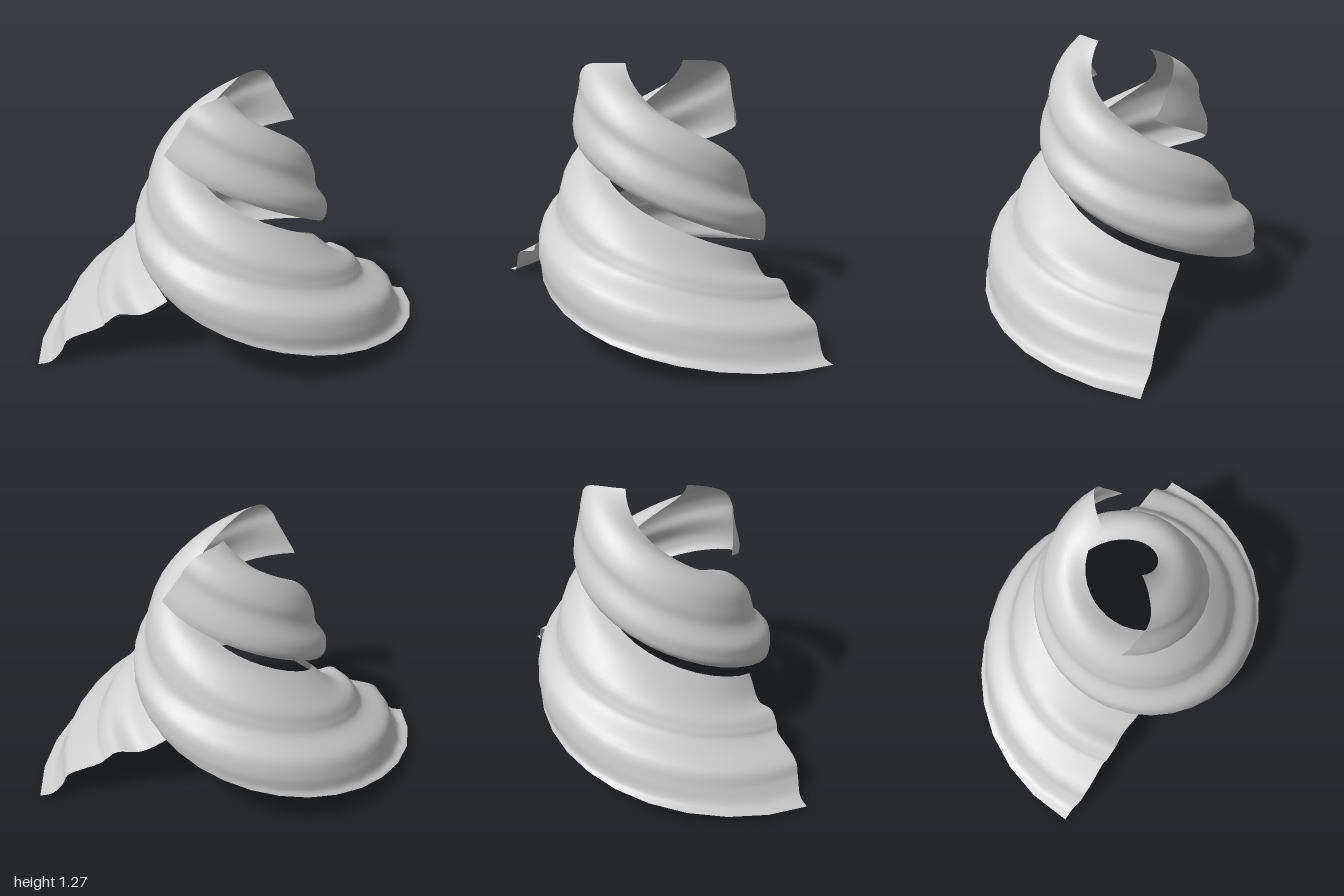
import * as THREE from 'three';

// Cross-sections of one ribbon, from lower outer edge to upper inner edge.
// The two cut ends are given as [x, y, z], the quarter turns as [radius, y].
const startEnd = [[0.99, 0, 0.16], [0.935, 0.015, 0.13], [0.895, 0.08, 0.09], [0.86, 0.15, 0.065],
  [0.73, 0.2, 0.005], [0.7, 0.235, -0.02], [0.65, 0.275, -0.05], [0.55, 0.265, -0.09], [0.45, 0.34, -0.16]];
const quarters = [
  [[0.69, 0.18], [0.677, 0.21], [0.677, 0.28], [0.65, 0.37], [0.565, 0.44], [0.54, 0.49], [0.51, 0.56],
    [0.41, 0.655], [0.31, 0.69]],
  [[0.485, 0.475], [0.5, 0.5], [0.503, 0.54], [0.495, 0.6], [0.44, 0.675], [0.425, 0.75], [0.39, 0.85],
    [0.31, 0.915], [0.207, 0.92]],
  [[0.395, 0.78], [0.405, 0.8], [0.409, 0.83], [0.4, 0.88], [0.365, 0.96], [0.355, 1.03], [0.315, 1.1],
    [0.25, 1.15], [0.157, 1.15]],
];
const topEnd = [[0.39, 1.02, -0.05], [0.385, 1.04, -0.06], [0.375, 1.07, -0.08], [0.355, 1.12, -0.105],
  [0.335, 1.17, -0.13], [0.315, 1.22, -0.15], [0.27, 1.26, -0.16], [0.2, 1.27, -0.145], [0.1, 1.27, -0.1]];

// Every section as a smooth curve through (angle, radius, height)
const polar = (turn) => ([x, y, z]) =>
  new THREE.Vector3(Math.atan2(z, x) + turn, Math.hypot(x, z), y);
const sections = [
  startEnd.map(polar(0)),
  ...quarters.map((q, i) => q.map(([r, y]) => new THREE.Vector3((i + 1) * Math.PI / 2, r, y))),
  topEnd.map(polar(Math.PI * 2)),
].map((points) => new THREE.CatmullRomCurve3(points, false, 'catmullrom', 0.5));

// Smooth interpolation of values over unevenly spaced angles
function hermite(keys, values, a) {
  const n = keys.length;
  let i = 0;
  while (i < n - 2 && a > keys[i + 1]) i++;
  const slope = (k) => (values[k + 1] - values[k]) / (keys[k + 1] - keys[k]);
  const tangent = (k) => {
    if (k === 0) return (3 * slope(0) - tangent(1)) / 2;
    if (k === n - 1) return (3 * slope(n - 2) - tangent(n - 2)) / 2;
    const h0 = keys[k] - keys[k - 1], h1 = keys[k + 1] - keys[k];
    return (slope(k - 1) * h1 + slope(k) * h0) / (h0 + h1);
  };
  const h = keys[i + 1] - keys[i], t = (a - keys[i]) / h, t2 = t * t, t3 = t2 * t;
  return (2 * t3 - 3 * t2 + 1) * values[i] + (t3 - 2 * t2 + t) * h * tangent(i)
    + (3 * t2 - 2 * t3) * values[i + 1] + (t3 - t2) * h * tangent(i + 1);
}

// One full turn of rippled ribbon, narrowing as it climbs
function ribbonGeometry(around = 30, across = 40) {
  const geometry = new THREE.PlaneGeometry(1, 1, around, across);
  const pos = geometry.attributes.position;
  for (let k = 0; k < pos.count; k++) {
    const u = 0.5 - pos.getX(k), v = pos.getY(k) + 0.5;
    const column = sections.map((curve) => curve.getPoint(v));
    const keys = column.map((p) => p.x);
    const a = THREE.MathUtils.lerp(keys[0], keys[4], u);
    const r = hermite(keys, column.map((p) => p.y), a);
    const y = hermite(keys, column.map((p) => p.z), a);
    pos.setXYZ(k, r * Math.cos(a), Math.max(0, y), r * Math.sin(a));
  }
  geometry.computeVertexNormals();
  return geometry;
}

export function createModel() {
  const group = new THREE.Group();
  group.name = 'doubleSpiralRibbon';
  const material = new THREE.MeshStandardMaterial({ color: 0xcccccc, side: THREE.DoubleSide });
  const geometry = ribbonGeometry();
  // Two identical ribbons, half a turn apart
  ['leftRibbon', 'rightRibbon'].forEach((name, i) => {
    const ribbon = new THREE.Mesh(geometry, material);
    ribbon.name = name;
    ribbon.rotation.y = i * Math.PI;
    group.add(ribbon);
  });
  return group;
}
